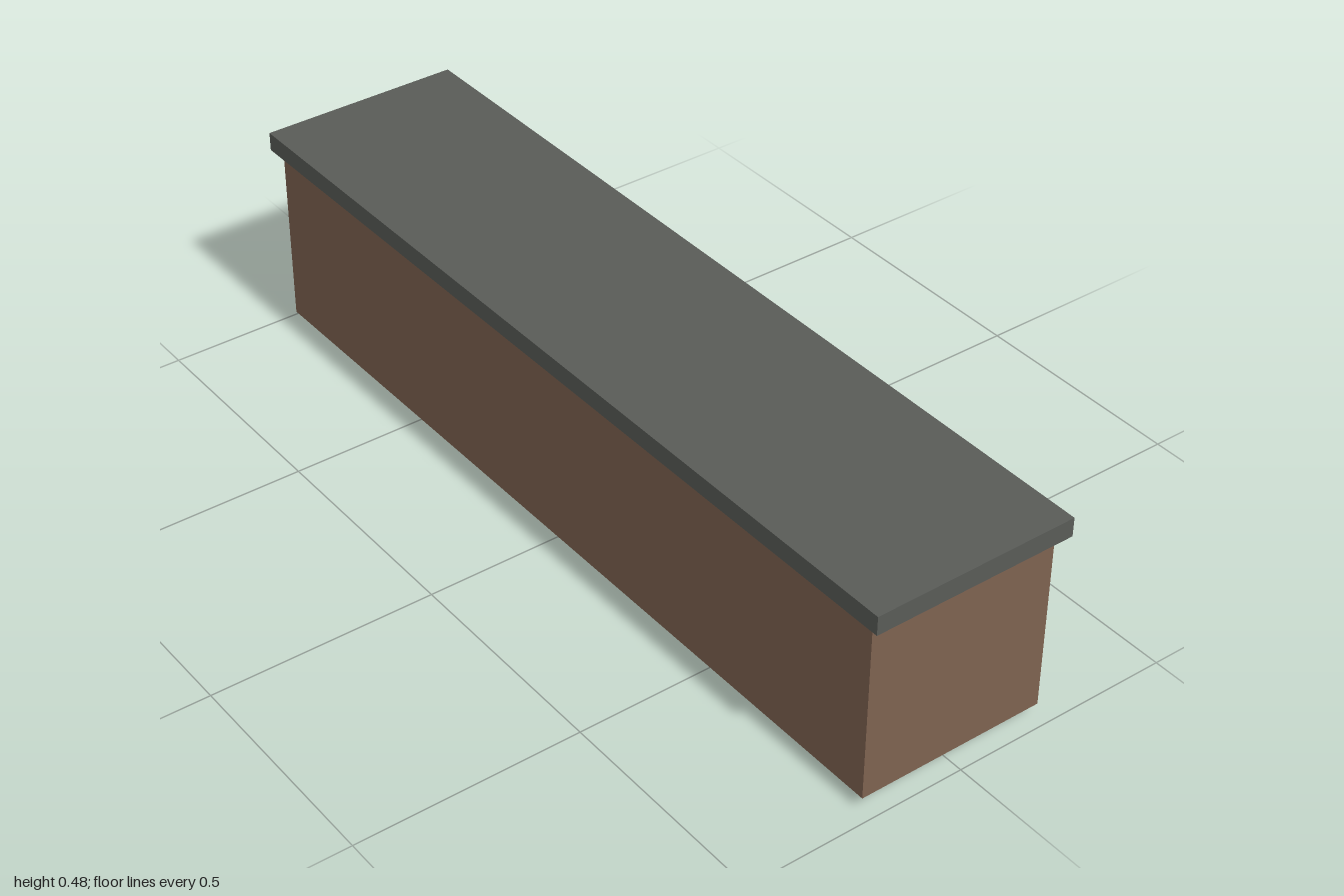
import * as THREE from 'three';

export function createModel() {
  const model = new THREE.Group();
  model.name = 'longBox';

  const material = (name, color) => {
    const m = new THREE.MeshStandardMaterial({ color });
    m.name = name;
    return m;
  };
  const brown = material('brown', 0x7e6250);
  const grey = material('grey', 0x595b57);
  const darkGrey = material('darkGrey', 0x464846);
  darkGrey.flatShading = true;

  // Box given by its size in x and z, its bottom and top heights, and its z centre
  const box = (name, mat, width, length, bottom, top, z = 0) => {
    const mesh = new THREE.Mesh(new THREE.BoxGeometry(width, top - bottom, length), mat);
    mesh.position.set(0, (bottom + top) / 2, z);
    mesh.name = name;
    model.add(mesh);
  };

  // Roof slab floats slightly above the body
  box('roof', grey, 0.458, 2, 0.438, 0.48);
  box('body', brown, 0.428, 1.944, 0.028, 0.43);
  box('underframe', grey, 0.342, 1.86, 0.008, 0.028);

  // Raised panel on the back end
  box('backPanel', brown, 0.35, 0.016, 0.19, 0.39, -0.979);

  // Four wheels, mostly hidden inside the body
  const radius = 0.055;
  const wheelGeometry = new THREE.CylinderGeometry(radius, radius, 0.021, 12);
  wheelGeometry.rotateZ(Math.PI / 2);
  for (const x of [-0.1725, 0.1725]) {
    for (const z of [-0.655, 0.655]) {
      const wheel = new THREE.Mesh(wheelGeometry, darkGrey);
      wheel.position.set(x, radius, z);
      wheel.name = 'wheel';
      model.add(wheel);
    }
  }
  return model;
}
